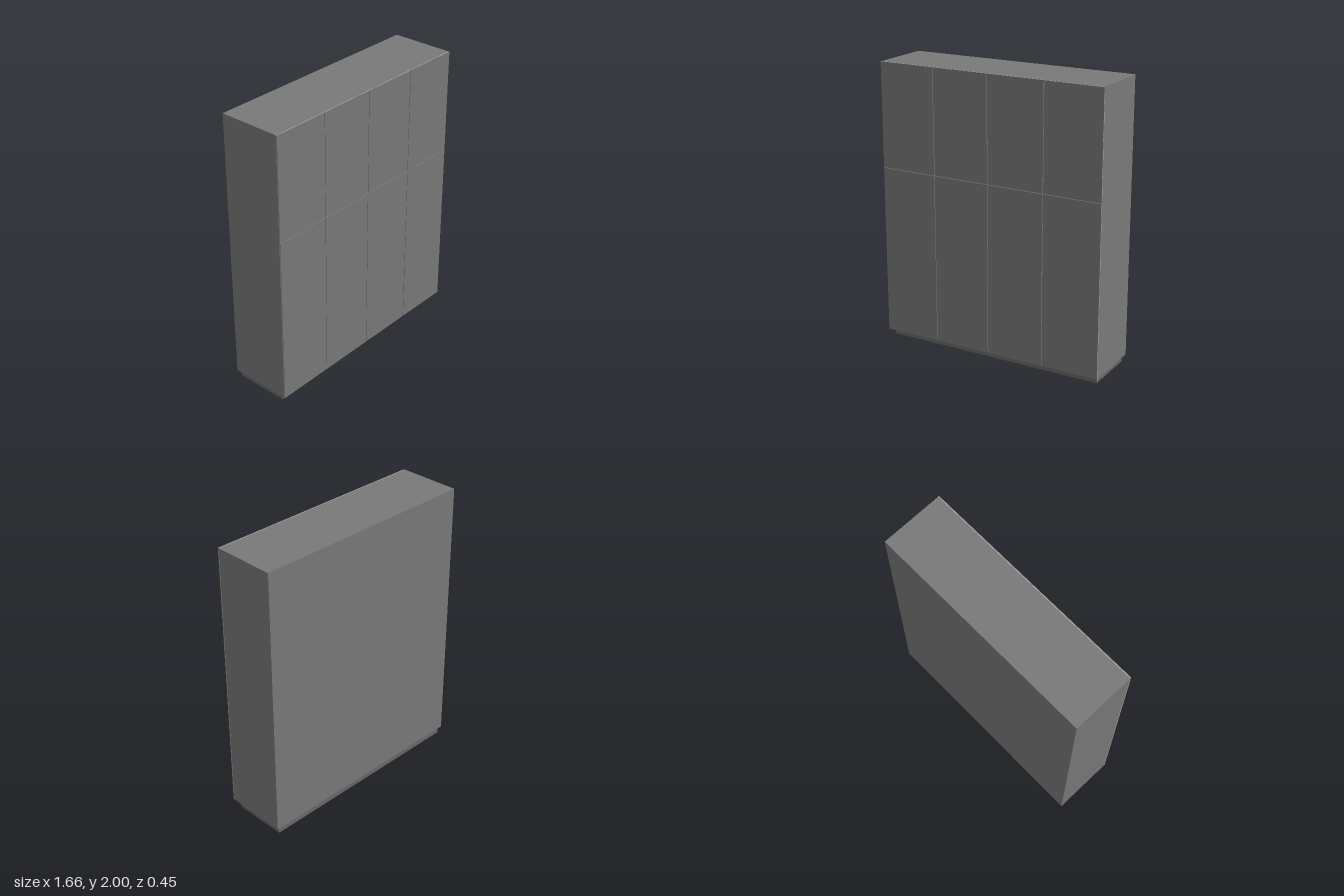
import * as THREE from 'three';

const WIDTH = 1.66, DEPTH = 0.454, HEIGHT = 2;
const PLINTH = 0.05, DOOR = 0.004, BACKING = 0.004, GAP = 0.004, SPLIT = 1.26, COLUMNS = 4;

export function createModel() {
  const model = new THREE.Group();
  model.name = 'wardrobe';
  const bodyMaterial = new THREE.MeshStandardMaterial({ color: 0x797979 });
  const plinthMaterial = new THREE.MeshStandardMaterial({ color: 0x696969 });
  const backingMaterial = new THREE.MeshStandardMaterial({ color: 0xb4b0a4 });

  // Box given by its minimum and maximum corners
  function box(name, [x0, y0, z0], [x1, y1, z1], material, parent = model) {
    const mesh = new THREE.Mesh(new THREE.BoxGeometry(x1 - x0, y1 - y0, z1 - z0), material);
    mesh.position.set((x0 + x1) / 2, (y0 + y1) / 2, (z0 + z1) / 2);
    mesh.name = name;
    parent.add(mesh);
  }

  const left = WIDTH / 2, front = DEPTH / 2;
  const doorBack = front - DOOR, carcassFront = doorBack - BACKING;

  // Recessed base, main cabinet body and the pale panel seen through the door gaps
  box('plinth', [-0.808, 0, -0.214], [0.808, PLINTH, 0.18], plinthMaterial);
  box('carcass', [-left, PLINTH, -front], [left, HEIGHT, carcassFront], bodyMaterial);
  box('backingPanel', [-left, PLINTH, carcassFront], [left, HEIGHT, doorBack], backingMaterial);

  // Two rows of flush doors, separated by narrow gaps
  const doors = new THREE.Group();
  doors.name = 'doors';
  model.add(doors);
  const rows = [
    ['lowerDoor', PLINTH, SPLIT - GAP / 2],
    ['upperDoor', SPLIT + GAP / 2, HEIGHT],
  ];
  const pitch = WIDTH / COLUMNS;
  for (const [name, bottom, top] of rows) {
    for (let i = 0; i < COLUMNS; i++) {
      const x0 = -left + i * pitch + (i > 0 ? GAP / 2 : 0);
      const x1 = -left + (i + 1) * pitch - (i < COLUMNS - 1 ? GAP / 2 : 0);
      box(name + (i + 1), [x0, bottom, doorBack], [x1, top, front], bodyMaterial, doors);
    }
  }
  return model;
}
